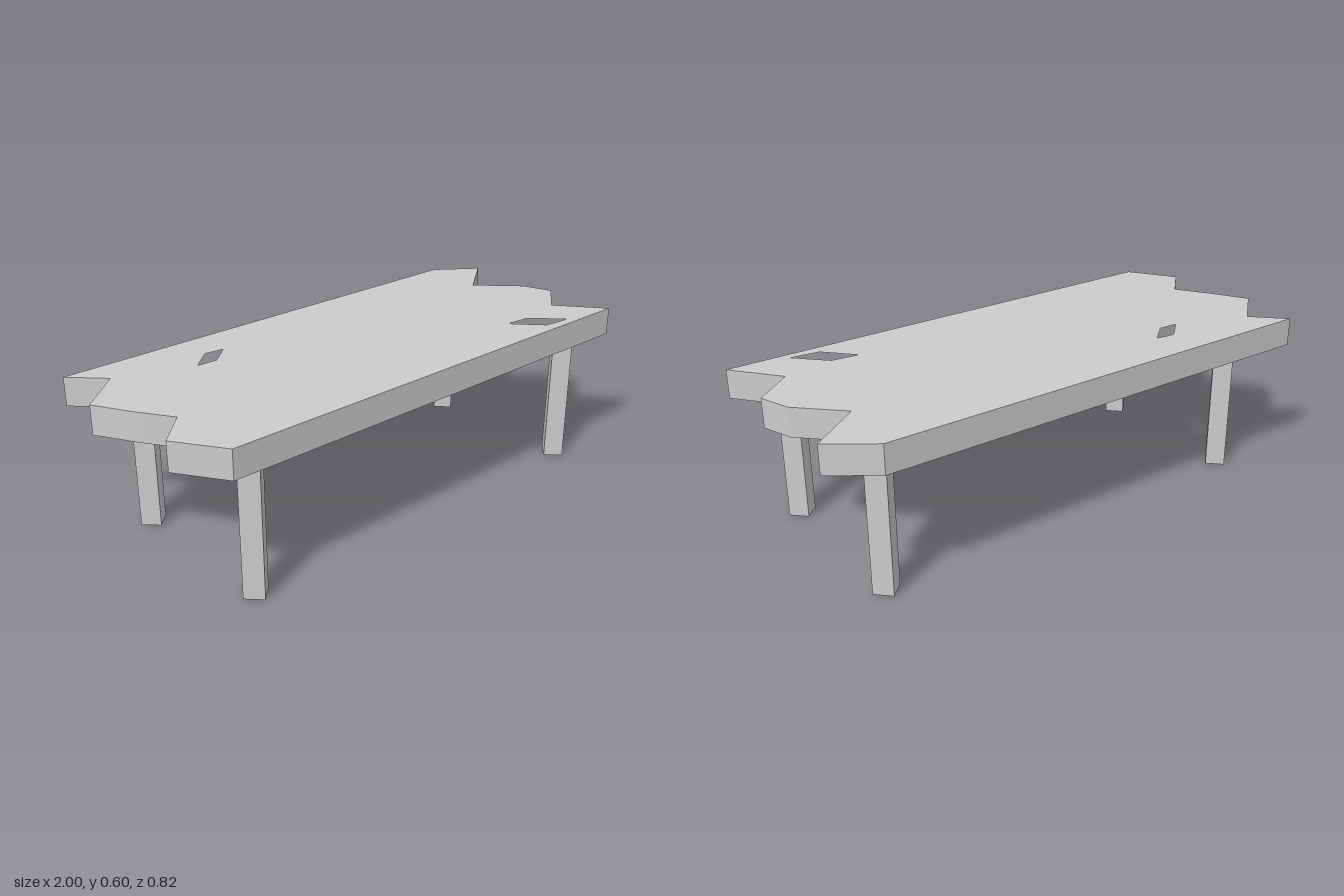
import * as THREE from 'three';

const LEG_HEIGHT = 0.49;
const TOP_THICKNESS = 0.108;

// Plan points are given as [x, z]
const toPlan = (points) => points.map(([x, z]) => new THREE.Vector2(x, -z));

export function createModel() {
  const group = new THREE.Group();
  const material = new THREE.MeshStandardMaterial({ color: 0xcccccc, flatShading: true });

  // Plank top with ragged, broken ends
  const outline = new THREE.Shape(toPlan([
    [-0.955, -0.408], [0.84, -0.408], [1, -0.292], [0.81, -0.148], [0.96, 0],
    [1, 0.115], [0.86, 0.232], [1, 0.408], [-0.84, 0.408], [-0.957, 0.232],
    [-0.84, 0.115], [-0.915, 0], [-1, -0.148], [-0.84, -0.292],
  ]));

  // Splintered holes through the plank
  const holes = [
    [[-0.555, -0.19], [-0.475, -0.263], [-0.4, -0.255], [-0.477, -0.187]],
    [[0.568, 0.257], [0.668, 0.267], [0.773, 0.374], [0.668, 0.364]],
  ];
  for (const hole of holes) outline.holes.push(new THREE.Path(toPlan(hole)));

  const topGeometry = new THREE.ExtrudeGeometry(outline, { depth: TOP_THICKNESS, bevelEnabled: false });
  topGeometry.rotateX(-Math.PI / 2);
  const top = new THREE.Mesh(topGeometry, material);
  top.name = 'tableTop';
  top.position.y = LEG_HEIGHT;
  group.add(top);

  // Square legs turned corner-on
  const legGeometry = new THREE.BoxGeometry(0.074, LEG_HEIGHT, 0.074);
  legGeometry.rotateY(Math.PI / 4);
  const legs = [
    ['frontLeftLeg', 0.804, 0.337],
    ['frontRightLeg', -0.728, 0.337],
    ['backLeftLeg', 0.804, -0.293],
    ['backRightLeg', -0.728, -0.286],
  ];
  for (const [name, x, z] of legs) {
    const leg = new THREE.Mesh(legGeometry, material);
    leg.name = name;
    leg.position.set(x, LEG_HEIGHT / 2, z);
    group.add(leg);
  }

  return group;
}
